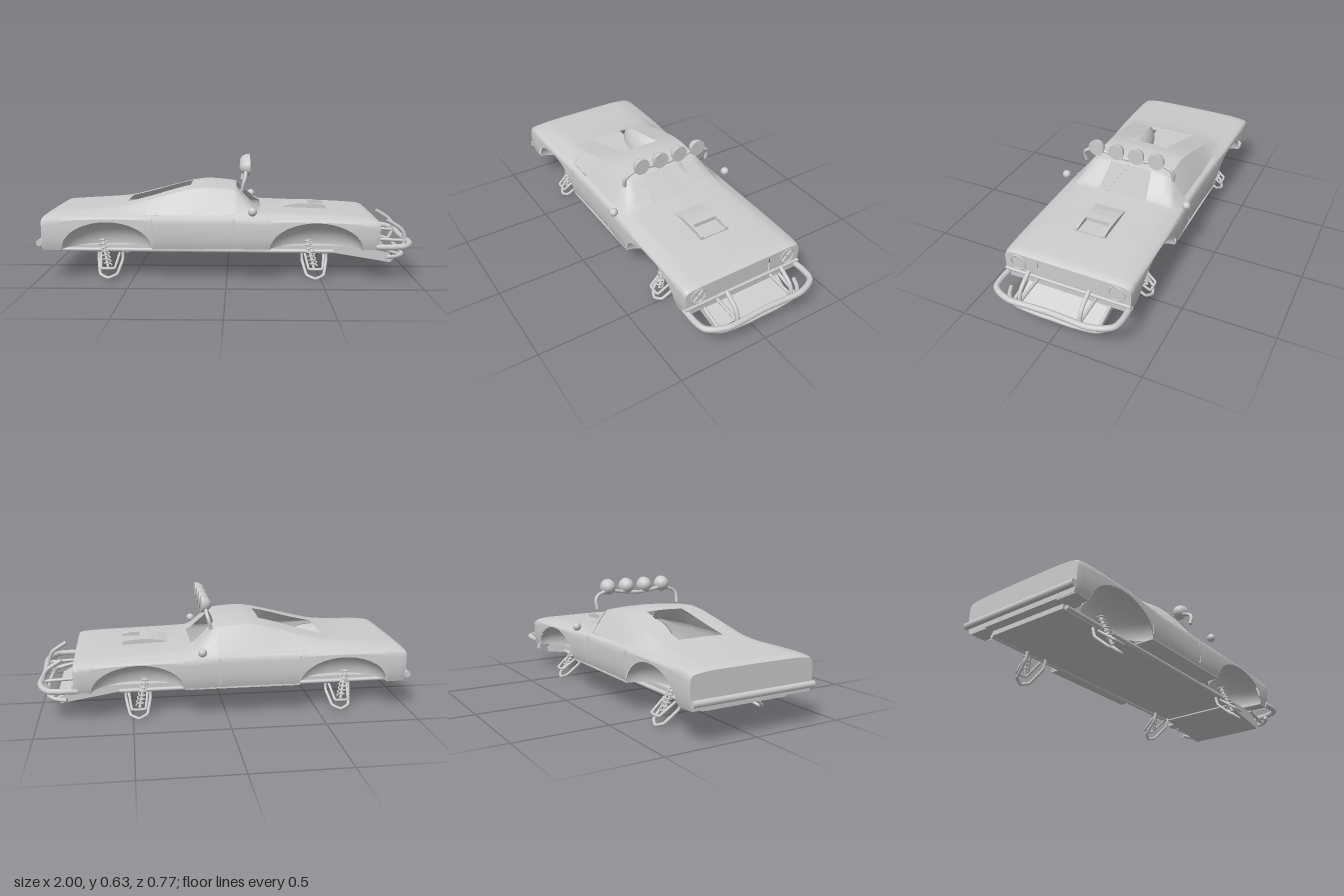
import * as THREE from 'three';

const grey = new THREE.MeshStandardMaterial({ color: 0xcccccc, side: THREE.DoubleSide });
grey.name = 'light grey';

function add(parent, name, geo, x = 0, y = 0, z = 0) {
  const m = new THREE.Mesh(geo, grey);
  m.name = name;
  m.position.set(x, y, z);
  parent.add(m);
  return m;
}
const V = (p) => new THREE.Vector3(...p);
// Round tube with capped ends through a few points
function tube(parent, name, pts, r, tension = 0.4, seg = 40) {
  const v = pts.map(V);
  const curve = v.length === 2 ? new THREE.LineCurve3(v[0], v[1]) : new THREE.CatmullRomCurve3(v, false, 'catmullrom', tension);
  add(parent, name, new THREE.TubeGeometry(curve, v.length === 2 ? 1 : seg, r, 10));
  for (const e of [0, 1]) {
    const cap = add(parent, name + 'End', new THREE.CircleGeometry(r, 10));
    cap.position.copy(curve.getPoint(e));
    const t = curve.getTangent(e).multiplyScalar(e ? 1 : -1);
    cap.quaternion.setFromUnitVectors(new THREE.Vector3(0, 0, 1), t);
  }
}
// Path given for +z half, mirrored into one tube across the car
const across = (half) => [...half, ...half.filter((p) => p[2] > 0).reverse().map(([x, y, z]) => [x, y, -z])];

// Body stations: x, centre height, shoulder z, shoulder y, belt y, half width
const stations = [
  [-0.97, 0.345, 0.25, 0.343, 0.338, 0.348], [-0.945, 0.36, 0.25, 0.357, 0.346, 0.352],
  [-0.85, 0.367, 0.25, 0.364, 0.352, 0.355], [-0.6, 0.39, 0.255, 0.38, 0.354, 0.352],
  [-0.43, 0.428, 0.25, 0.418, 0.352, 0.345], [-0.3, 0.466, 0.242, 0.452, 0.35, 0.342],
  [-0.2, 0.49, 0.235, 0.476, 0.35, 0.34], [-0.12, 0.5, 0.23, 0.486, 0.35, 0.34],
  [0.04, 0.487, 0.228, 0.472, 0.35, 0.342], [0.1, 0.435, 0.25, 0.42, 0.348, 0.345],
  [0.18, 0.372, 0.28, 0.36, 0.345, 0.347], [0.3, 0.364, 0.28, 0.355, 0.342, 0.348],
  [0.6, 0.35, 0.28, 0.345, 0.336, 0.349], [0.77, 0.335, 0.28, 0.333, 0.328, 0.348],
  [0.8, 0.322, 0.28, 0.321, 0.318, 0.344],
];
// Monotone cubic interpolation of one station column
function at(x, k) {
  const S = stations, n = S.length;
  let i = 0;
  while (i < n - 2 && x > S[i + 1][0]) i++;
  const sl = (j) => (S[j + 1][k] - S[j][k]) / (S[j + 1][0] - S[j][0]);
  const tan = (j) => {
    if (j === 0) return sl(0);
    if (j === n - 1) return sl(n - 2);
    const a = sl(j - 1), b = sl(j);
    return a * b <= 0 ? 0 : (2 * a * b) / (a + b);
  };
  const h = S[i + 1][0] - S[i][0], t = (x - S[i][0]) / h, t2 = t * t, t3 = t2 * t;
  return (2 * t3 - 3 * t2 + 1) * S[i][k] + (t3 - 2 * t2 + t) * h * tan(i) + (3 * t2 - 2 * t3) * S[i + 1][k] + (t3 - t2) * h * tan(i + 1);
}
const wheels = [[-0.63, 0.24, 0.15], [0.47, 0.245, 0.147]]; // x, arch half length, arch height
const BOTTOM = 0.17;
function sillY(x) {
  let y = BOTTOM;
  for (const [c, a, h] of wheels) {
    const u = Math.abs(x - c) / a;
    if (u < 1) y = BOTTOM + h * Math.sqrt(1 - u * u);
  }
  return y;
}
const sideBulge = (y) => (y > 0.28 ? -0.005 * ((y - 0.28) / 0.07) : -0.014 * Math.pow((0.28 - y) / 0.11, 3)) + 0.006;
const lerp = THREE.MathUtils.lerp;
// Half section as [z, y] from centre line to sill
function section(x) {
  const [yc, zs, ys, yb, w] = [1, 2, 3, 4, 5].map((k) => at(x, k));
  const hw = x < -0.1 ? lerp(0.135, 0.11, THREE.MathUtils.clamp((x + 0.55) / 0.35, 0, 1)) : lerp(0.12, 0.145, THREE.MathUtils.clamp((x - 0.05) / 0.13, 0, 1));
  const pts = [[0, yc], [hw, lerp(yc, ys, 0.25)], [lerp(hw, zs, 0.65), lerp(yc, ys, 0.6)], [zs, ys],
    [lerp(zs, 0.315, 0.5), lerp(ys, yb, 0.46)], [0.315, yb], [w - 0.008, yb - 0.006]];
  const top = yb - 0.018, low = sillY(x);
  for (let i = 0; i <= 7; i++) {
    const y = lerp(top, low, i / 7);
    pts.push([w + sideBulge(y), y]);
  }
  return pts;
}

function buildBody(car) {
  const xs = [-0.55, -0.43, -0.2, 0.04, 0.05, 0.18, 0.8];
  for (let x = -0.97; x < 0.795; x += 0.015) xs.push(x);
  for (const [c, a] of wheels) for (const s of [-1, 1]) xs.push(c + s * a, c + s * (a - 0.002), c + s * (a - 0.006));
  xs.sort((a, b) => a - b);
  const secs = xs.map(section), cols = secs[0].length;
  for (const s of [1, -1]) {
    const pos = [], shell = [], glass = [];
    xs.forEach((x, i) => secs[i].forEach(([z, y]) => pos.push(x, y, s * z)));
    for (let i = 0; i < xs.length - 1; i++) {
      const xm = (xs[i] + xs[i + 1]) / 2;
      for (let j = 0; j < cols - 1; j++) {
        // open windscreen and rear window
        if (j === 0 && ((xm > -0.55 && xm < -0.2) || (xm > 0.05 && xm < 0.18))) continue;
        const a = i * cols + j, b = a + 1, c = a + cols, d = c + 1;
        const q = s > 0 ? [a, b, c, b, d, c] : [a, c, b, b, c, d];
        (j >= 3 && j < 5 && xm > -0.43 && xm < 0.04 ? glass : shell).push(...q);
      }
    }
    for (const [name, idx, inset] of [['bodyShell', shell, 0], ['sideWindow', glass, 0.004]]) {
      const g = new THREE.BufferGeometry();
      g.setAttribute('position', new THREE.Float32BufferAttribute(pos, 3));
      g.setIndex(idx);
      g.computeVertexNormals();
      add(car, name, g, 0, 0, -s * inset);
    }
  }
  // Nose and tail panels
  const endShape = (x) => {
    const half = section(x);
    return new THREE.Shape([...half, ...half.slice(1).reverse().map(([z, y]) => [-z, y])].map(([z, y]) => new THREE.Vector2(z, y)));
  };
  add(car, 'tailPanel', new THREE.ShapeGeometry(endShape(-0.97)).rotateY(-Math.PI / 2), -0.97);
  const nose = endShape(0.8);
  for (const s of [1, -1]) nose.holes.push(new THREE.Path().absarc(s * 0.275, 0.268, 0.042, 0, Math.PI * 2, true));
  nose.holes.push(new THREE.Path([[-0.16, 0.215], [-0.16, 0.305], [0.16, 0.305], [0.16, 0.215]].map((p) => new THREE.Vector2(...p))));
  add(car, 'nosePanel', new THREE.ShapeGeometry(nose, 24).rotateY(Math.PI / 2), 0.8);
  add(car, 'grille', new THREE.BoxGeometry(0.008, 0.1, 0.33), 0.784, 0.26, 0);
  for (const s of [1, -1]) {
    add(car, 'headlight', new THREE.CylinderGeometry(0.042, 0.042, 0.02, 28).rotateZ(Math.PI / 2), 0.783, 0.268, s * 0.275);
    add(car, 'headlightRim', new THREE.TorusGeometry(0.042, 0.004, 8, 28).rotateY(Math.PI / 2), 0.8, 0.268, s * 0.275);
    for (const r of [1, -1]) add(car, 'headlightCross', new THREE.BoxGeometry(0.008, 0.08, 0.006), 0.798, 0.268, s * 0.275).rotation.x = r * Math.PI / 4;
    // Wheel wells, sill undersides, door seams and mirrors
    for (const [x, a, h] of wheels) {
      const well = new THREE.SphereGeometry(1, 32, 12, s > 0 ? Math.PI : 0, Math.PI, 0, Math.PI / 2);
      add(car, 'wheelWell', well.scale(a, h, 0.16), x, BOTTOM, s * 0.343);
    }
    for (const [a, b] of [[-0.96, -0.87], [-0.39, 0.225], [0.715, 0.79]]) add(car, 'sillUnderside', new THREE.BoxGeometry(b - a, 0.006, 0.12), (a + b) / 2, 0.173, s * 0.282);
    for (const x of [-0.39, 0.04]) add(car, 'doorSeam', new THREE.BoxGeometry(0.006, 0.14, 0.006), x, 0.265, s * at(x, 5) + s * 0.003);
    add(car, 'mirror', new THREE.SphereGeometry(0.023, 20, 14), 0.135, 0.378, s * 0.363);
  }
}

function extrudeXY(pts, depth) {
  return new THREE.ExtrudeGeometry(new THREE.Shape(pts.map((p) => new THREE.Vector2(...p))), { depth, bevelEnabled: false }).translate(0, 0, -depth / 2);
}

function buildSuspension(car, x, s) {
  const g = new THREE.Group();
  g.name = 'suspension';
  car.add(g);
  const P = (a) => a.map(([dx, y, z]) => [x + dx, y, s * z]);
  tube(g, 'lowerArm', P([[-0.065, 0.145, 0.215], [-0.065, 0.095, 0.228], [-0.045, 0.03, 0.3], [0, 0.013, 0.32], [0.045, 0.03, 0.3], [0.065, 0.095, 0.228], [0.065, 0.145, 0.215]]), 0.008, 0.15);
  tube(g, 'upperArm', P([[-0.05, 0.13, 0.235], [-0.035, 0.066, 0.32], [0.035, 0.066, 0.32], [0.05, 0.13, 0.235]]), 0.007, 0.1);
  const top = [-0.04, 0.21, 0.235], low = [-0.005, 0.06, 0.285];
  tube(g, 'shockAbsorber', P([top, low]), 0.008);
  const coil = [];
  for (let i = 0; i <= 70; i++) {
    const t = i / 70, w = t * 14 * Math.PI;
    coil.push([lerp(top[0], low[0], t) + 0.019 * Math.cos(w), lerp(top[1], low[1], t * 0.9), lerp(top[2], low[2], t) + 0.019 * Math.sin(w)]);
  }
  tube(g, 'coilSpring', P(coil), 0.004, 0.5, 140);
}

export function createModel() {
  const car = new THREE.Group();
  car.name = 'rallyCar';
  buildBody(car);

  // Hood scoop with open front slot
  add(car, 'scoopBack', extrudeXY([[0.3, 0.34], [0.3, 0.364], [0.35, 0.375], [0.4, 0.381], [0.45, 0.381], [0.45, 0.34]], 0.17));
  add(car, 'scoopFloor', new THREE.BoxGeometry(0.1, 0.02, 0.17), 0.495, 0.349, 0);
  for (const s of [1, -1]) add(car, 'scoopSide', extrudeXY([[0.45, 0.34], [0.45, 0.381], [0.5, 0.379], [0.545, 0.37], [0.545, 0.34]], 0.015), 0, 0, s * 0.0775);

  // Floor pan and sloping skid plate
  add(car, 'floorPan', new THREE.BoxGeometry(1.5, 0.03, 0.46), -0.17, 0.16, 0);
  add(car, 'tailFloor', new THREE.BoxGeometry(0.06, 0.008, 0.46), -0.94, 0.174, 0);
  add(car, 'skidPlate', extrudeXY([[0.55, 0.138], [0.88, 0.083], [0.9, 0.108], [0.78, 0.172], [0.55, 0.172]], 0.45));

  // Bumpers and bull bar
  tube(car, 'rearBumper', [[-0.983, 0.207, 0.352], [-0.983, 0.207, -0.352]], 0.017);
  tube(car, 'noseTrim', [[0.802, 0.213, 0.35], [0.802, 0.213, -0.35]], 0.009);
  tube(car, 'frontBumper', across([[0.78, 0.19, 0.338], [0.88, 0.19, 0.338], [0.94, 0.19, 0.315], [0.98, 0.19, 0.22], [0.978, 0.19, 0.1], [0.974, 0.19, 0]]), 0.016, 0.5, 80);
  tube(car, 'lowerBar', across([[0.84, 0.128, 0.305], [0.9, 0.128, 0.275], [0.94, 0.128, 0.22], [0.953, 0.128, 0.1], [0.953, 0.128, 0]]), 0.011, 0.5, 60);
  for (const s of [1, -1]) {
    tube(car, 'bullBarUpright', [[0.945, 0.135, s * 0.165], [0.968, 0.19, s * 0.165], [0.95, 0.25, s * 0.165], [0.87, 0.305, s * 0.165]], 0.011, 0.5);
    tube(car, 'bumperStrut', [[0.78, 0.2, s * 0.165], [0.97, 0.19, s * 0.165]], 0.009);
    tube(car, 'lowerStrut', [[0.78, 0.17, s * 0.235], [0.94, 0.128, s * 0.235]], 0.009);
    tube(car, 'floorRail', [[-0.91, 0.152, s * 0.243], [0.57, 0.145, s * 0.243]], 0.011);
    for (const [x] of wheels) buildSuspension(car, x, s);
  }

  // Roof light bar with four lamps
  tube(car, 'lightBar', across([[0.08, 0.475, 0.262], [0.09, 0.52, 0.265], [0.098, 0.548, 0.247], [0.1, 0.566, 0.205], [0.1, 0.572, 0.165], [0.1, 0.56, 0.09], [0.1, 0.552, 0]]), 0.01, 0.5, 90);
  for (const z of [-0.176, -0.059, 0.059, 0.176]) {
    const bowl = new THREE.SphereGeometry(0.044, 28, 10, 0, Math.PI * 2, 0, Math.PI / 2).scale(1, 1.2, 1).rotateZ(Math.PI / 2);
    add(car, 'lampBowl', bowl, 0.12, 0.59, z);
    add(car, 'lampLens', new THREE.CylinderGeometry(0.045, 0.045, 0.006, 28).rotateZ(Math.PI / 2), 0.121, 0.59, z);
  }
  return car;
}
